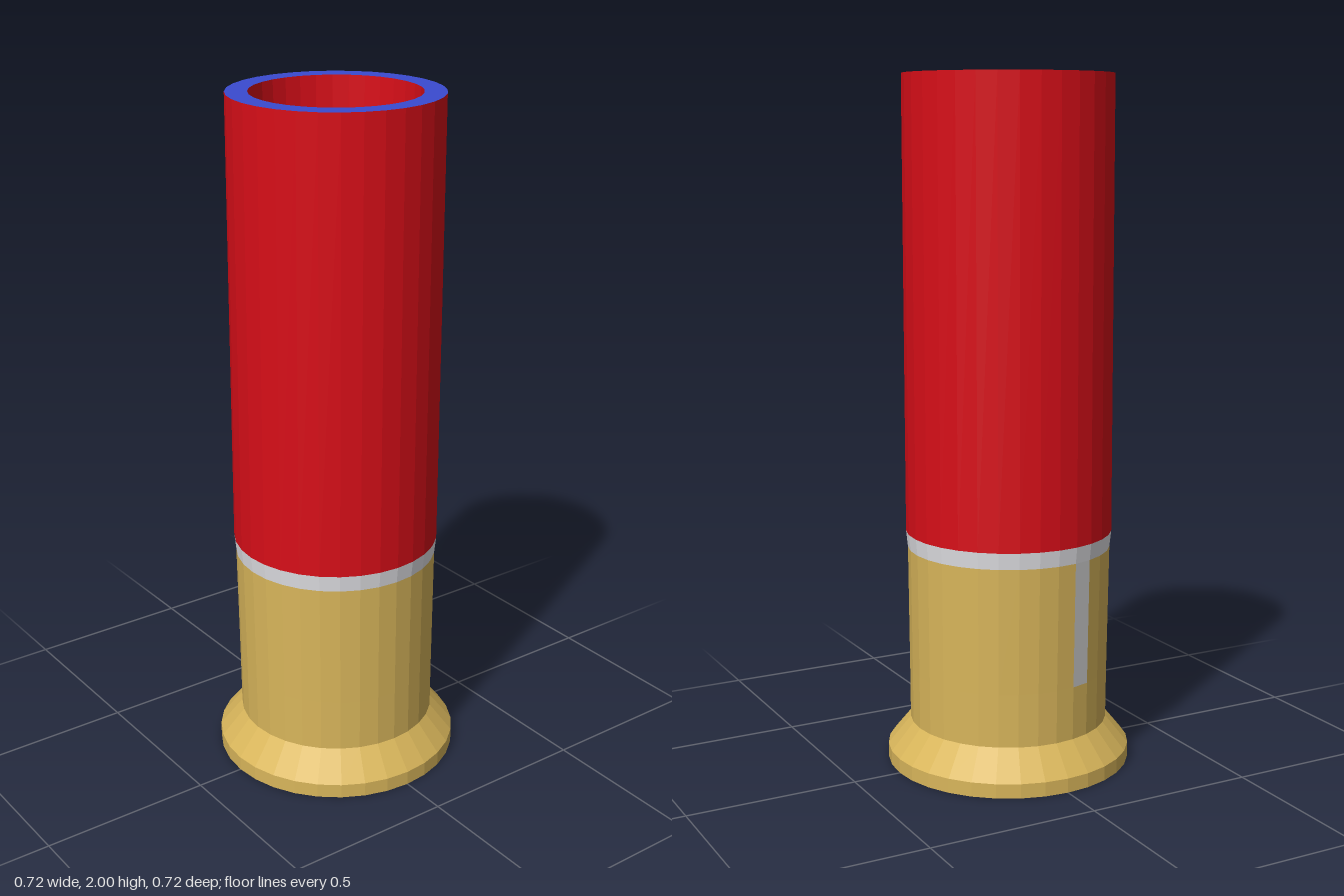
import * as THREE from 'three';

const SIDES = 32;
const STEP = (Math.PI * 2) / SIDES;

const paint = (color) => new THREE.MeshStandardMaterial({ color, flatShading: true, side: THREE.DoubleSide });

export function createModel() {
  const group = new THREE.Group();
  const red = paint(0xd80e18);
  const brass = paint(0xd9b65b);
  const white = paint(0xe2e2e6);
  const grey = paint(0xcccccc);
  const blue = paint(0x3a4bd0);

  const add = (name, geometry, material) => {
    const mesh = new THREE.Mesh(geometry, material);
    mesh.name = name;
    group.add(mesh);
  };

  // Open faceted wall between two rings [y, radius, z offset]; covers `count` facets from `first`
  const wall = (name, low, high, material, first = 0, count = SIDES) => {
    const [y0, r0, z0] = low;
    const [y1, r1, z1] = high;
    const geo = new THREE.CylinderGeometry(r1, r0, y1 - y0, count, 1, true, first * STEP, count * STEP);
    geo.translate(0, (y0 + y1) / 2, 0);
    const p = geo.attributes.position;
    for (let i = 0; i < p.count; i++) {
      const t = (p.getY(i) - y0) / (y1 - y0);
      p.setZ(i, p.getZ(i) + z0 + (z1 - z0) * t);
    }
    add(name, geo, material);
  };

  // Flat disc, facing up or down
  const disc = (name, radius, y, material, up) => {
    const geo = new THREE.CircleGeometry(radius, SIDES);
    geo.rotateX(up ? -Math.PI / 2 : Math.PI / 2).translate(0, y, 0);
    add(name, geo, material);
  };

  // Rings from the bottom up, with a very slight backward bulge
  const base = [0, 0.358, 0];
  const rim = [0.042, 0.358, 0];
  const neck = [0.124, 0.291, 0];
  const lower = [0.28, 0.292, -0.001];
  const brassTop = [0.645, 0.296, -0.004];
  const bandTop = [0.693, 0.301, -0.004];
  const mouth = [2, 0.3, -0.001];

  // Brass base
  disc('baseCap', base[1], 0, brass, false);
  wall('rimEdge', base, rim, brass);
  wall('rimSlope', rim, neck, brass);
  wall('brassLower', neck, lower, brass);

  // Brass sleeve, one facet at the back being a grey strip
  wall('brassSleeve', lower, brassTop, brass, 18, SIDES - 1);
  wall('greyStrip', lower, brassTop, grey, 17, 1);

  // Hull
  wall('whiteBand', brassTop, bandTop, white);
  wall('hull', bandTop, mouth, red);

  // Mouth ring and tapering bore
  const lip = new THREE.RingGeometry(0.238, 0.3, SIDES);
  lip.rotateX(-Math.PI / 2).translate(0, 2, -0.001);
  add('mouthRing', lip, blue);
  wall('bore', [0.7, 0.197, -0.001], [2, 0.238, -0.001], red);
  disc('boreFloor', 0.197, 0.7, red, true);

  return group;
}
